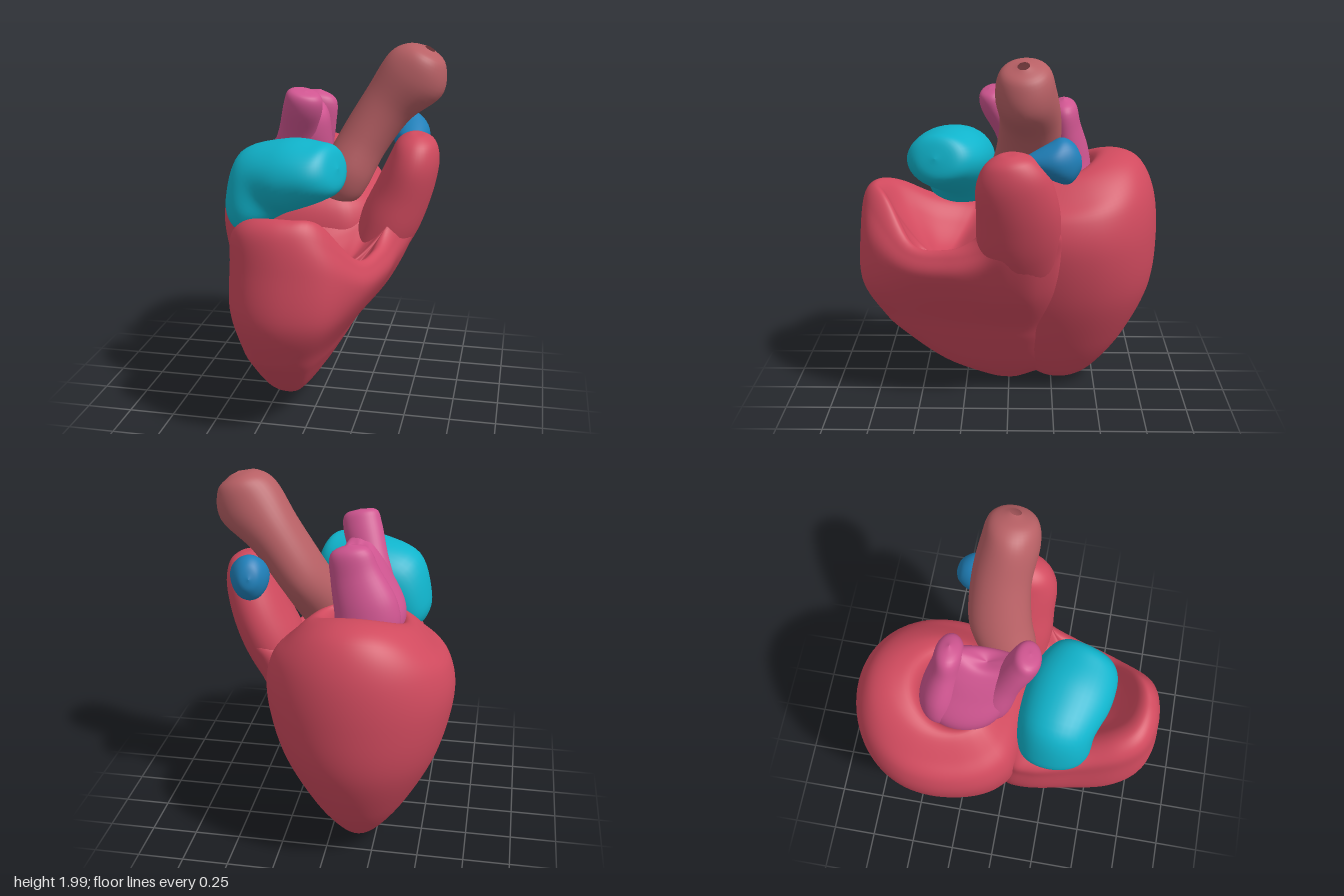
import * as THREE from 'three';

const V = (x, y, z) => new THREE.Vector3(x, y, z);
const mix = THREE.MathUtils.lerp;
const mat = (color) => new THREE.MeshStandardMaterial({ color, side: THREE.DoubleSide });

// Smooth skin through closed rings of control points (rings run from +x towards -z, bottom to top)
function loft(name, rings, color, around = 72, steps = 7) {
  const fine = rings.map((ring) => {
    const c = new THREE.CatmullRomCurve3(ring, true, 'catmullrom', 0.5);
    return Array.from({ length: around }, (_, j) => c.getPoint(j / around));
  });
  const rows = (rings.length - 1) * steps;
  const pos = new Float32Array((rows + 1) * around * 3);
  const index = [];
  for (let j = 0; j < around; j++) {
    const c = new THREE.CatmullRomCurve3(fine.map((r) => r[j]), false, 'catmullrom', 0.5);
    for (let i = 0; i <= rows; i++) {
      c.getPoint(i / rows).toArray(pos, (i * around + j) * 3);
      if (i === rows) continue;
      const k = (j + 1) % around;
      const a = i * around + j, b = i * around + k;
      index.push(a, b, a + around, b, b + around, a + around);
    }
  }
  const g = new THREE.BufferGeometry();
  g.setAttribute('position', new THREE.BufferAttribute(pos, 3));
  g.setIndex(index);
  g.computeVertexNormals();
  const mesh = new THREE.Mesh(g, mat(color));
  mesh.name = name;
  return mesh;
}

// Flat oval ring; frontPower below 1 squares off its front half
const oval = (cx, y, cz, rx, rz, yRule, frontPower = 1) =>
  Array.from({ length: 20 }, (_, i) => {
    const a = (i / 20) * Math.PI * 2;
    const s = -Math.sin(a), c = Math.cos(a);
    const w = Math.sign(c) * Math.abs(c) ** (s > 0 ? frontPower : 1);
    return V(cx + rx * w, y + yRule(s), cz + rz * s);
  });

// Organic tube: stations are [x, y, z, radius along ref, radius across]
function vessel(name, stations, ref, color) {
  const p = stations.map((s) => V(s[0], s[1], s[2]));
  const rings = stations.map((s, i) => {
    const t = p[Math.min(i + 1, p.length - 1)].clone().sub(p[Math.max(i - 1, 0)]).normalize();
    const n = ref.clone().addScaledVector(t, -ref.dot(t)).normalize();
    const b = t.clone().cross(n);
    return Array.from({ length: 12 }, (_, k) => {
      const a = (k / 12) * Math.PI * 2;
      return p[i].clone().addScaledVector(n, s[3] * Math.cos(a)).addScaledVector(b, s[4] * Math.sin(a));
    });
  });
  return loft(name, rings, color, 40, 6);
}

// Rounded rear chamber with a rolled-in opening on top
function rearChamber(color) {
  // y, centre z, scale x, scale z, rise of the ring towards the back, drop at its sides
  const levels = [
    [0.02, -0.3, 0, 0, 0, 0], [0.035, -0.3, 0.12, 0.2, 0, 0], [0.12, -0.31, 0.3, 0.42, 0, 0],
    [0.32, -0.33, 0.57, 0.7, 0, 0], [0.62, -0.36, 0.86, 0.93, 0, 0], [0.92, -0.36, 1, 1, 0, 0],
    [1.14, -0.36, 0.95, 0.95, 0.04, 0.04], [1.28, -0.36, 0.78, 0.77, 0.07, 0.08], [1.35, -0.34, 0.55, 0.52, 0.05, 0.05],
    [1.3, -0.29, 0.41, 0.38, 0.05, 0.03], [1.1, -0.27, 0.34, 0.33, 0, 0], [0.85, -0.27, 0.25, 0.25, 0, 0], [0.8, -0.27, 0, 0, 0, 0],
  ];
  const rings = levels.map(([y, cz, sx, sz, rise, drop]) =>
    oval(-0.16, y, cz, 0.49 * sx, 0.475 * sz, (s) => -rise * s - drop * (1 - s * s), 0.55));
  return loft('rearChamber', rings, color, 80);
}

// Front chamber: wraps the rear one, with a thick lobe in front and a shallow hollow on top
function frontChamber(color) {
  // outline x, z at mid height, then rim x, y, z
  const plan = [
    [0.47, 0.0, 0.51, 1.17, 0.0], [0.44, -0.15, 0.49, 1.17, -0.15], [0.28, -0.3, 0.38, 1.13, -0.22],
    [0.1, -0.24, 0.22, 1.1, -0.15], [-0.15, -0.05, 0.0, 1.04, 0.0], [-0.42, 0.0, -0.35, 1.04, 0.08],
    [-0.47, 0.15, -0.4, 1.05, 0.2], [-0.43, 0.4, -0.35, 1.09, 0.42], [-0.37, 0.65, -0.3, 1.18, 0.62],
    [-0.25, 0.8, -0.21, 1.22, 0.73], [-0.04, 0.85, -0.05, 1.23, 0.765], [0.2, 0.79, 0.11, 1.2, 0.71],
    [0.33, 0.58, 0.28, 0.98, 0.53], [0.41, 0.32, 0.36, 0.97, 0.31], [0.44, 0.15, 0.41, 1.04, 0.14],
  ];
  // y, scale towards +x, scale towards -x, scale z
  const levels = [[0, 0, 0, 0], [0.02, 0.07, 0.12, 0.13], [0.15, 0.26, 0.42, 0.45], [0.35, 0.46, 0.68, 0.73],
    [0.48, 0.58, 0.8, 0.86], [0.7, 0.84, 0.96, 0.98]];
  const rings = levels.map(([y, sr, sl, sz]) => plan.map(([x, z]) =>
    V(-0.17 + (x + 0.17) * (x > -0.17 ? sr : sl), y, z * (z < 0 ? Math.min(1, sz * 1.9) : sz))));
  // shoulder, rim, lip, hollow and floor: [share of rim plan, share of rim height, pull inward]
  const upper = [[0.35, 0.5, -0.015], [0.85, 0.86, -0.07], [1, 1, 0.04], [1, 0.96, 0.2], [1, 0.72, 0.4], [1, 0.45, 0.7], [0, 0, 1]];
  for (const [k, h, pull] of upper) {
    rings.push(plan.map(([x, z, rx, ry, rz]) =>
      V(mix(mix(x, rx, k), 0.14, pull), pull === 1 ? 0.86 : mix(0.72, ry, h), mix(mix(z, rz, k), 0.39, pull))));
  }
  return loft('frontChamber', rings, color, 105);
}

// Saddle-shaped body of the rear valve
function rearValveBody(color) {
  // x, y, z, half width, half depth, rise at both ends
  const levels = [
    [-0.19, 1.0, -0.22, 0.1, 0.15, 0], [-0.19, 1.2, -0.23, 0.17, 0.21, 0.02], [-0.185, 1.34, -0.21, 0.185, 0.235, 0.03],
    [-0.14, 1.48, -0.16, 0.14, 0.24, 0.03], [-0.11, 1.57, -0.13, 0.1, 0.22, 0.05], [-0.1, 1.61, -0.11, 0.06, 0.15, 0.05],
    [-0.1, 1.6, -0.11, 0, 0, 0],
  ];
  return loft('rearValveBody', levels.map(([x, y, z, rx, rz, rise]) =>
    oval(x, y, z, rx, rz, (s) => rise * s * s)), color, 60);
}

export function createModel() {
  const heart = new THREE.Group();
  heart.name = 'heart';
  const red = 0xd04a5e, pink = 0xcf5590;
  const zAxis = V(0, 0, 1), xAxis = V(1, 0, 0);

  heart.add(rearChamber(red), frontChamber(red));

  // Outlet lobe rising from the front chamber
  heart.add(vessel('outletLobe', [
    [0.2, 0.66, -0.05, 0, 0], [0.24, 0.76, -0.05, 0.17, 0.11], [0.345, 1.0, -0.055, 0.215, 0.16],
    [0.43, 1.2, -0.055, 0.215, 0.155], [0.49, 1.38, -0.03, 0.19, 0.135], [0.505, 1.48, -0.015, 0.135, 0.105],
    [0.51, 1.525, -0.01, 0.06, 0.05], [0.512, 1.53, -0.01, 0, 0],
  ], zAxis, red));

  // Rear valve with its two posts
  const rearValve = new THREE.Group();
  rearValve.name = 'rearValve';
  rearValve.add(rearValveBody(pink));
  rearValve.add(vessel('frontPost', [
    [-0.22, 1.25, -0.1, 0, 0], [-0.21, 1.32, -0.08, 0.1, 0.1], [-0.15, 1.52, 0.0, 0.08, 0.1],
    [-0.1, 1.67, 0.075, 0.08, 0.105], [-0.085, 1.74, 0.1, 0.06, 0.085], [-0.08, 1.755, 0.105, 0, 0],
  ], zAxis, pink));
  rearValve.add(vessel('rearPost', [
    [-0.19, 1.18, -0.34, 0, 0], [-0.19, 1.25, -0.34, 0.11, 0.16], [-0.18, 1.38, -0.335, 0.11, 0.165],
    [-0.12, 1.54, -0.31, 0.085, 0.13], [-0.09, 1.66, -0.3, 0.065, 0.1], [-0.085, 1.7, -0.3, 0, 0],
  ], zAxis, pink));
  heart.add(rearValve);

  // Main artery with a small open tip
  heart.add(vessel('mainArtery', [
    [0.09, 1.13, 0.0, 0, 0], [0.09, 1.16, -0.01, 0.09, 0.09], [0.115, 1.28, -0.03, 0.14, 0.135],
    [0.2, 1.46, -0.1, 0.165, 0.135], [0.335, 1.67, -0.115, 0.155, 0.145], [0.475, 1.83, -0.09, 0.15, 0.18],
    [0.53, 1.935, -0.085, 0.12, 0.12], [0.55, 1.97, -0.08, 0.03, 0.03],
  ], zAxis, 0xb86065));

  // Front valve: a thick bent leaf
  heart.add(vessel('frontValve', [
    [-0.37, 1.045, 0.28, 0, 0], [-0.365, 1.07, 0.28, 0.14, 0.08], [-0.34, 1.16, 0.28, 0.19, 0.14],
    [-0.26, 1.3, 0.28, 0.205, 0.2], [-0.1, 1.36, 0.32, 0.225, 0.185], [0.05, 1.39, 0.36, 0.2, 0.15],
    [0.13, 1.41, 0.38, 0.13, 0.11], [0.15, 1.415, 0.39, 0, 0],
  ], zAxis, 0x10b4cc));

  // Outlet valve
  heart.add(vessel('outletValve', [
    [0.46, 1.48, -0.06, 0, 0], [0.46, 1.48, -0.1, 0.05, 0.03], [0.45, 1.48, -0.21, 0.1, 0.09],
    [0.435, 1.48, -0.29, 0.095, 0.12], [0.425, 1.5, -0.35, 0.055, 0.07], [0.42, 1.5, -0.37, 0, 0],
  ], xAxis, 0x1f7fb8));

  return heart;
}
